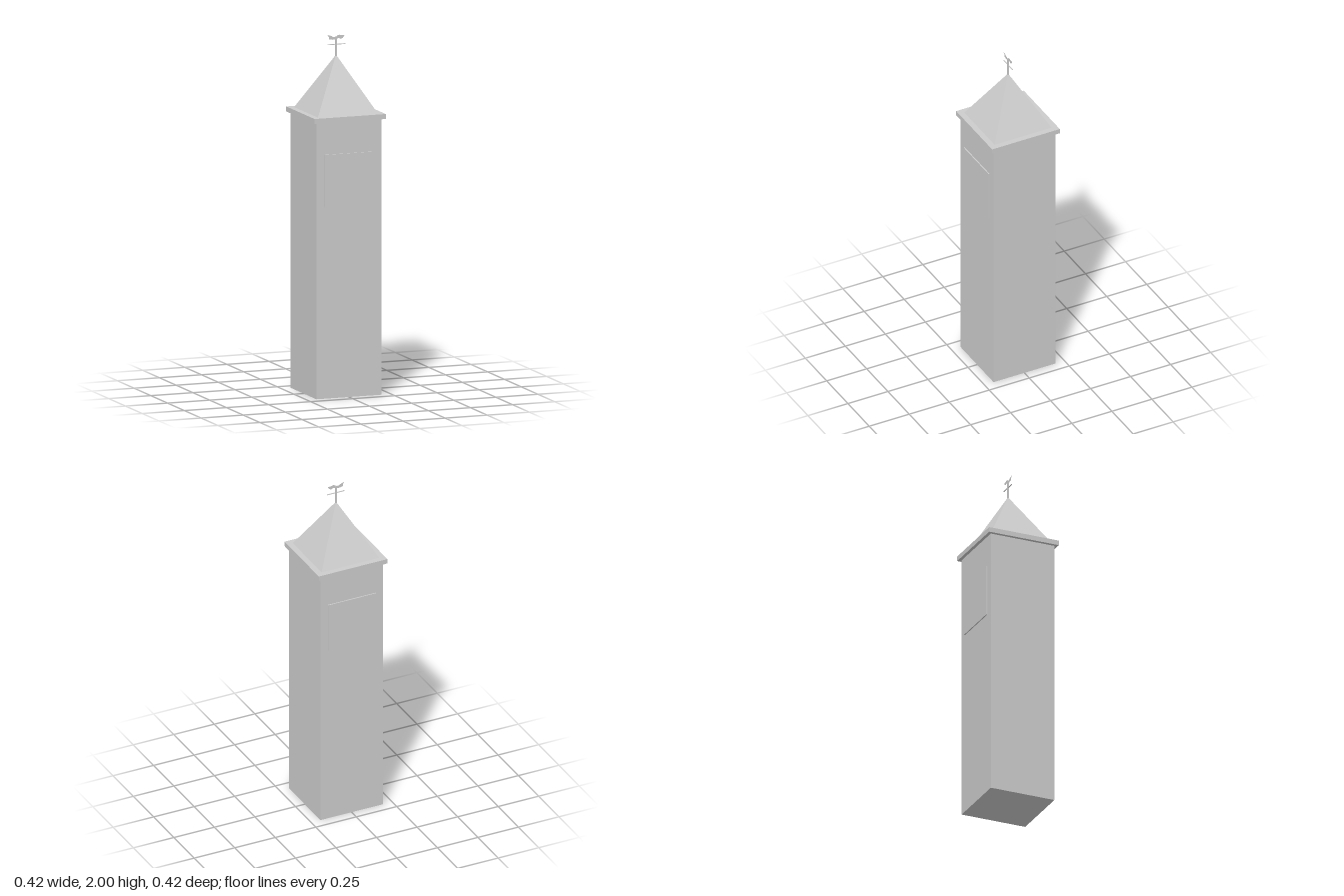
import * as THREE from 'three';

export function createModel() {
  const group = new THREE.Group();
  const stone = new THREE.MeshStandardMaterial({ color: 0xcccccc });
  stone.name = 'pale grey';
  const sheet = new THREE.MeshStandardMaterial({ color: 0xcccccc, side: THREE.DoubleSide });
  sheet.name = 'pale grey sheet';

  const add = (name, geometry, x, y, z, material = stone) => {
    const mesh = new THREE.Mesh(geometry, material);
    mesh.name = name;
    mesh.position.set(x, y, z);
    group.add(mesh);
    return mesh;
  };
  const box = (name, w, h, d, x, y, z) => add(name, new THREE.BoxGeometry(w, h, d), x, y, z);

  // Square shaft and overhanging cornice slab
  box('towerShaft', 0.386, 1.547, 0.386, 0, 0.7735, 0);
  box('cornice', 0.423, 0.028, 0.423, 0, 1.561, 0);

  // Pyramid roof, turned so its sides line up with the walls
  const roof = new THREE.ConeGeometry(0.178 * Math.SQRT2, 0.312, 4, 1).toNonIndexed();
  roof.rotateY(Math.PI / 4);
  roof.computeVertexNormals();
  add('roof', roof, 0, 1.731, 0);

  // Thin square panels on the front and back walls
  for (const [name, side] of [['frontPanel', 1], ['backPanel', -1]]) {
    box(name, 0.294, 0.294, 0.007, 0, 1.22, side * 0.1962);
  }

  // Weather vane: pole, crossbar and a wavy sheet figure
  box('vanePole', 0.008, 0.112, 0.008, 0, 1.932, 0);
  box('vaneCrossbar', 0.106, 0.004, 0.004, 0.002, 1.945, 0);
  const figure = new THREE.Shape();
  figure.moveTo(-0.052, 2.0);
  figure.quadraticCurveTo(-0.03, 1.996, -0.02, 1.988);
  figure.quadraticCurveTo(-0.004, 1.982, 0.008, 1.994);
  figure.quadraticCurveTo(0.018, 2.0, 0.028, 1.994);
  figure.lineTo(0.05, 1.993);
  figure.quadraticCurveTo(0.044, 1.976, 0.028, 1.973);
  figure.quadraticCurveTo(0.018, 1.982, 0.006, 1.975);
  figure.quadraticCurveTo(-0.02, 1.967, -0.042, 1.976);
  figure.lineTo(-0.042, 1.987);
  figure.closePath();
  add('vaneFigure', new THREE.ShapeGeometry(figure, 4), 0, 0, 0, sheet);

  return group;
}
